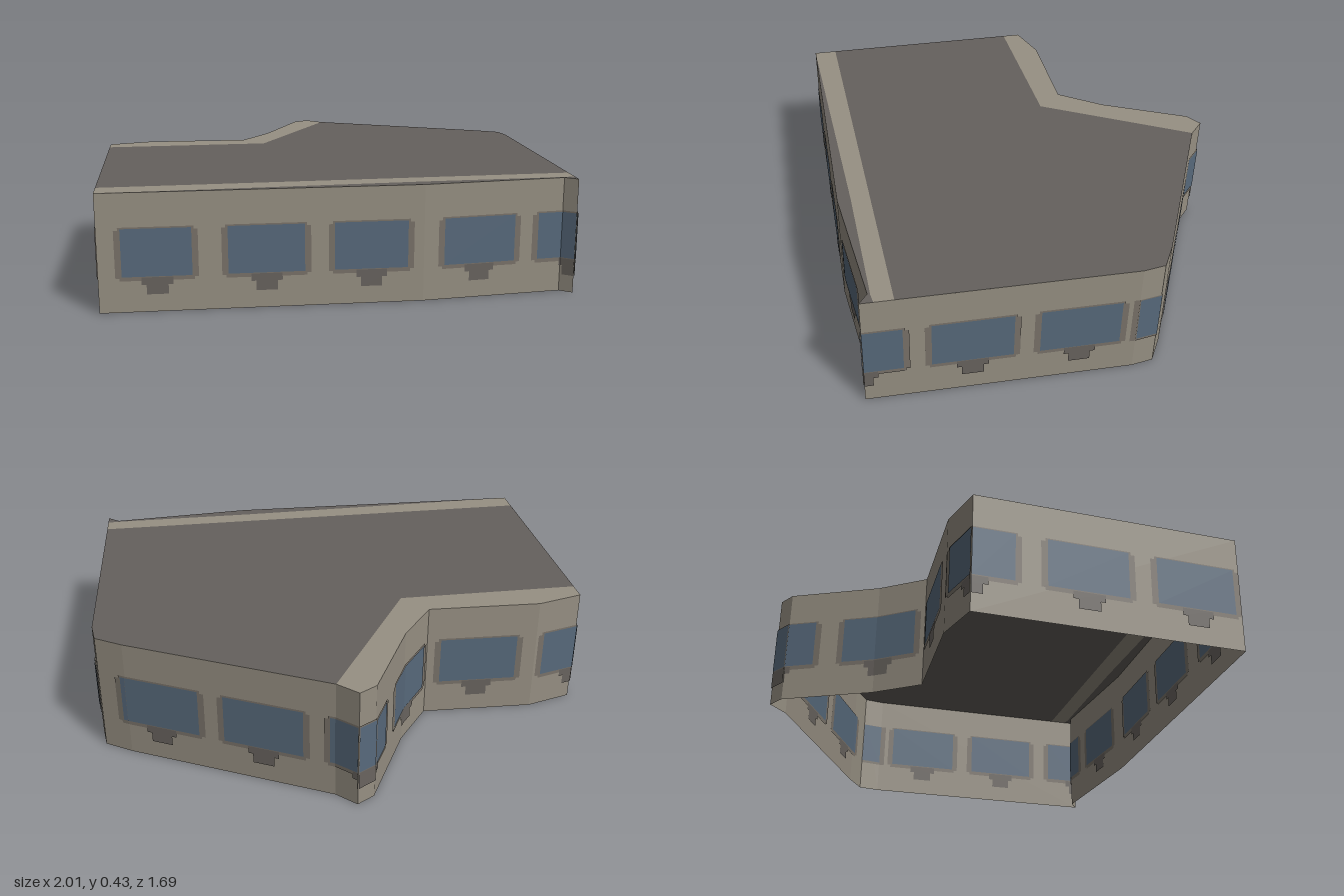
import * as THREE from 'three';

const HEIGHT = 0.43;

// Footprint corners (x, z), running along the front first
const OUTLINE = [
  [-1, -0.04], [-0.02, 0.56], [0.455, 0.79], [0.475, 0.84], [0.97, 0.04],
  [1, -0.035], [0.95, -0.13], [0.545, -0.76], [0.52, -0.845], [0.45, -0.845],
  [0.16, -0.66], [-0.02, -0.585], [-0.36, -0.8], [-0.525, -0.845],
];

// Window centre and glass width, measured along the footprint
const WINDOWS = [
  [0.204, 0.244], [0.586, 0.27], [0.959, 0.263], [1.358, 0.267], [1.724, 0.284],
  [2.101, 0.28], [2.472, 0.28], [2.985, 0.285], [3.359, 0.28], [3.733, 0.284],
  [4.127, 0.282], [4.496, 0.28], [4.88, 0.284], [5.27, 0.28], [5.65, 0.28],
];

const mat = (name, color) =>
  new THREE.MeshStandardMaterial({ name, color, side: THREE.DoubleSide });

// Upright strip that follows the footprint from distance s0 to s1
function addStrip(out, s0, s1, y0, y1, offset) {
  let start = 0;
  OUTLINE.forEach((a, i) => {
    const b = OUTLINE[(i + 1) % OUTLINE.length];
    const dx = b[0] - a[0], dz = b[1] - a[1], len = Math.hypot(dx, dz);
    const t0 = Math.max(0, (s0 - start) / len);
    const t1 = Math.min(1, (s1 - start) / len);
    start += len;
    if (t1 - t0 < 1e-4) return;
    const nx = (-dz / len) * offset, nz = (dx / len) * offset;
    const p = (t, y) => [a[0] + dx * t + nx, y, a[1] + dz * t + nz];
    out.push(...p(t0, y0), ...p(t1, y0), ...p(t1, y1));
    out.push(...p(t0, y0), ...p(t1, y1), ...p(t0, y1));
  });
}

function stripMesh(name, material, positions) {
  const g = new THREE.BufferGeometry();
  g.setAttribute('position', new THREE.Float32BufferAttribute(positions, 3));
  g.computeVertexNormals();
  const mesh = new THREE.Mesh(g, material);
  mesh.name = name;
  return mesh;
}

// Flat roof piece from (x, z) corners
function roofMesh(name, material, points) {
  const shape = new THREE.Shape(points.map(([x, z]) => new THREE.Vector2(x, -z)));
  const g = new THREE.ShapeGeometry(shape).rotateX(-Math.PI / 2).translate(0, HEIGHT, 0);
  const mesh = new THREE.Mesh(g, material);
  mesh.name = name;
  return mesh;
}

export function createModel() {
  const model = new THREE.Group();
  model.name = 'building';
  const wall = mat('warm grey wall', 0x979083);
  const roof = mat('dark roof', 0x65615d);
  const glass = mat('blue glass', 0x586a7c);
  const frame = mat('window frame', 0x7a736a);
  const unit = mat('dark sill unit', 0x69645f);

  // Outer walls, open underneath
  const walls = [];
  addStrip(walls, 0, 10, 0, HEIGHT, 0);
  model.add(stripMesh('walls', wall, walls));

  // Windows, frames and the units under them, on both faces of the wall
  const panes = [], frames = [], units = [];
  for (const side of [1, -1]) {
    for (const [s, w] of WINDOWS) {
      const h = w / 2;
      addStrip(panes, s - h, s + h, 0.13, 0.303, side * 0.005);
      addStrip(frames, s - h - 0.022, s + h + 0.022, 0.125, 0.297, side * 0.003);
      addStrip(frames, s - h - 0.008, s + h + 0.008, 0.115, 0.308, side * 0.003);
      addStrip(units, s - 0.055, s + 0.055, 0.1, 0.127, side * 0.004);
      addStrip(units, s - 0.038, s + 0.038, 0.065, 0.1, side * 0.004);
    }
    // Narrow window at the right-hand corner
    addStrip(frames, 2.65, 2.753, 0.12, 0.305, side * 0.003);
    addStrip(panes, 2.672, 2.753, 0.13, 0.303, side * 0.005);
  }
  model.add(stripMesh('windowFrames', frame, frames));
  model.add(stripMesh('windowPanes', glass, panes));
  model.add(stripMesh('sillUnits', unit, units));

  // Roof: dark field with pale borders along the front and the notch
  model.add(roofMesh('mainRoof', roof, [
    [-0.955, -0.116], [0.535, 0.743], ...OUTLINE.slice(4, 8), [0, -0.46], [-0.56, -0.786],
  ]));
  model.add(roofMesh('frontRoofBorder', wall, [
    [-1, -0.04], [0, 0.515], [0.465, 0.785], [0.5, 0.8], [0.535, 0.743], [-0.955, -0.116],
  ]));
  model.add(roofMesh('frontRoofEdge', roof, [
    ...OUTLINE.slice(0, 4), [0.5, 0.8], [0.465, 0.785], [0, 0.515],
  ]));
  model.add(roofMesh('backRoofBorder', wall, [
    ...OUTLINE.slice(7), [-0.56, -0.786], [0, -0.46],
  ]));
  return model;
}
